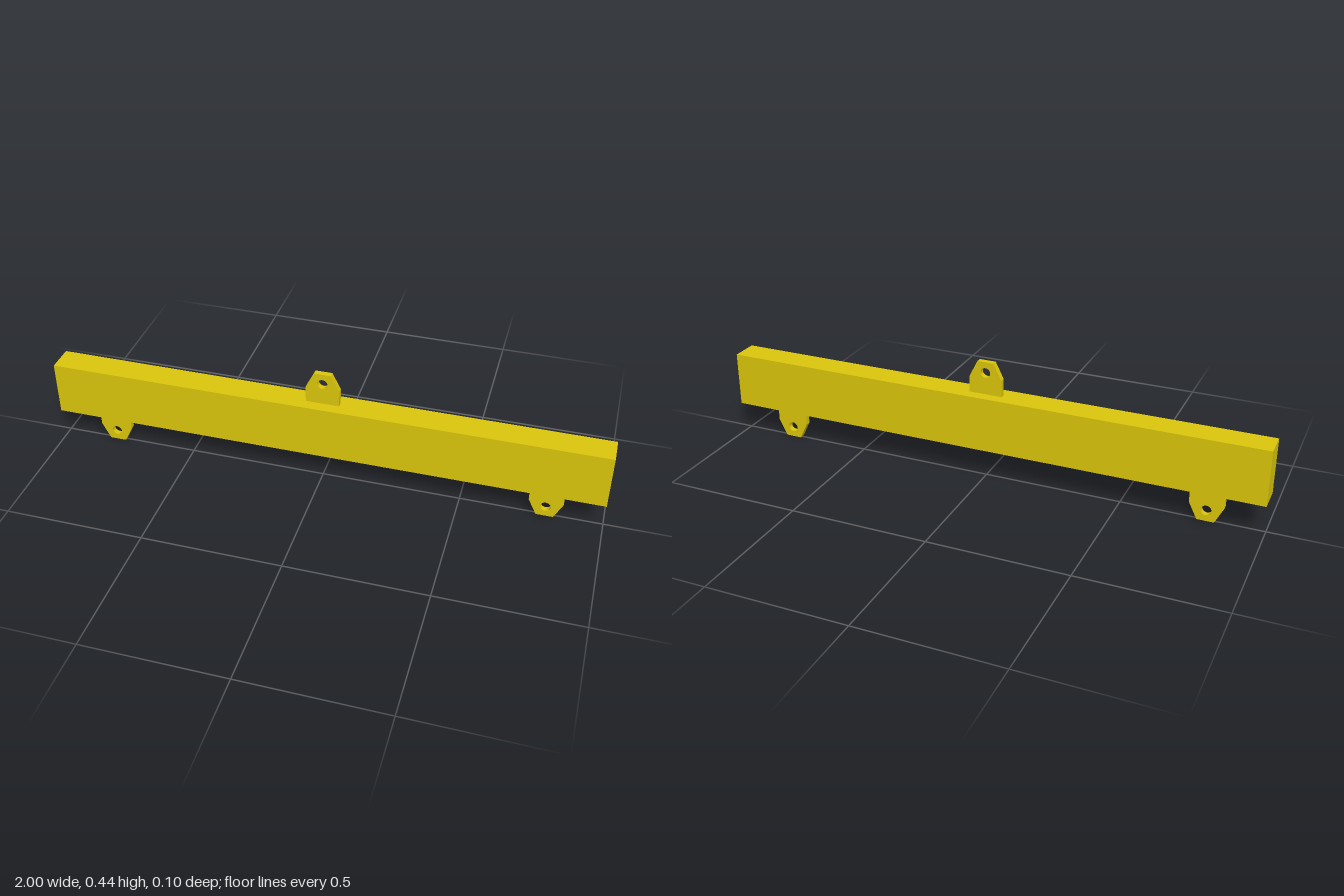
import * as THREE from 'three';

export function createModel() {
  const model = new THREE.Group();
  model.name = 'spreaderBeam';
  const yellow = new THREE.MeshStandardMaterial({ color: 0xdcc60c });
  yellow.name = 'safety yellow';

  // Main rectangular beam
  const beam = new THREE.Mesh(new THREE.BoxGeometry(2, 0.2, 0.1), yellow);
  beam.name = 'beam';
  beam.position.y = 0.22;
  model.add(beam);

  // Lifting lug plate: straight sides, tapered tip, round pin hole
  const outline = new THREE.Shape([
    [-0.06, 0], [0.06, 0], [0.06, 0.06], [0.03, 0.12], [-0.03, 0.12], [-0.06, 0.06],
  ].map(([x, y]) => new THREE.Vector2(x, y)));
  const hole = new THREE.Path();
  hole.absarc(0, 0.08, 0.018, 0, Math.PI * 2, true);
  outline.holes.push(hole);
  const lugGeometry = new THREE.ExtrudeGeometry(outline, {
    depth: 0.02, bevelEnabled: false, curveSegments: 16,
  });
  lugGeometry.translate(0, 0, -0.01);

  // One lug on top, two hanging below
  const addLug = (name, x, y, hanging) => {
    const lug = new THREE.Mesh(lugGeometry, yellow);
    lug.name = name;
    lug.position.set(x, y, 0);
    if (hanging) lug.rotation.z = Math.PI;
    model.add(lug);
  };
  addLug('topLug', 0, 0.32, false);
  addLug('leftLug', 0.8, 0.12, true);
  addLug('rightLug', -0.8, 0.12, true);

  return model;
}
